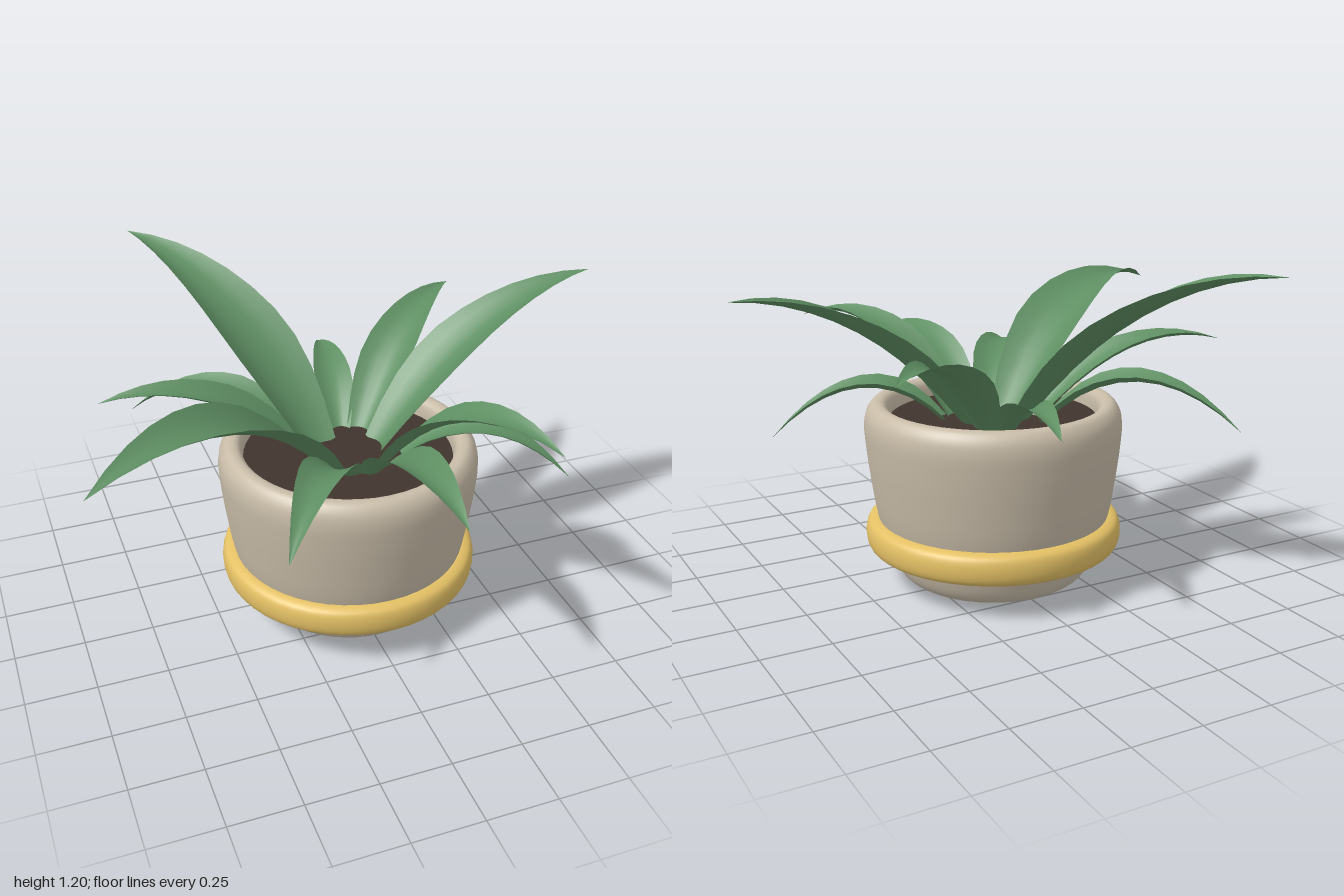
import * as THREE from 'three';

const CX = 0.005, CZ = 0.025; // pot axis

const mat = (color) => new THREE.MeshStandardMaterial({ color, side: THREE.DoubleSide });
const potMat = mat(0xc8bca8), bandMat = mat(0xe3c065), soilMat = mat(0x40342d), leafMat = mat(0x5f8f63);

// Smooth turned shape from [radius, height] pairs
function turned(name, points, material) {
  const curve = new THREE.CatmullRomCurve3(points.map(([r, y]) => new THREE.Vector3(r, y, 0)), false, 'centripetal');
  const profile = curve.getPoints(points.length * 4).map((p) => new THREE.Vector2(Math.max(p.x, 0), p.y));
  const mesh = new THREE.Mesh(new THREE.LatheGeometry(profile, 48), material);
  mesh.name = name;
  mesh.position.set(CX, 0, CZ);
  return mesh;
}

// Relative half-width along the blade: blunt base, widest at a third, pointed tip
function bladeWidth(t) {
  const peak = 0.35;
  if (t < peak) return 0.5 + 0.5 * Math.sin((t / peak) * Math.PI / 2);
  return 1 - Math.pow((t - peak) / (1 - peak), 1.45);
}

// Arching blade with a cupped cross-section
function leaf([bx, bz], [tx, ty, tz], archY, width) {
  const baseY = 0.6, along = 10, across = 6;
  const curve = new THREE.QuadraticBezierCurve3(
    new THREE.Vector3(bx, baseY, bz),
    new THREE.Vector3(bx + (tx - bx) * 0.46, archY, bz + (tz - bz) * 0.46),
    new THREE.Vector3(tx, ty, tz));
  const side = new THREE.Vector3(tz - bz, 0, bx - tx).normalize();
  const geo = new THREE.PlaneGeometry(1, 1, across, along);
  const pos = geo.attributes.position;
  for (let i = 0; i <= along; i++) {
    const t = i / along;
    const centre = curve.getPoint(t);
    const up = curve.getTangent(t).cross(side).normalize();
    const half = bladeWidth(t) * width / 2;
    for (let j = 0; j <= across; j++) {
      const s = (j / across) * 2 - 1;
      const p = centre.clone().addScaledVector(side, s * half).addScaledVector(up, s * s * half * 0.4);
      pos.setXYZ(i * (across + 1) + j, p.x, p.y, p.z);
    }
  }
  geo.computeVertexNormals();
  const mesh = new THREE.Mesh(geo, leafMat);
  mesh.name = 'leaf';
  return mesh;
}

export function createModel() {
  const model = new THREE.Group();
  model.name = 'pottedPlant';

  // Pot: outer wall, rounded rim and inner wall
  model.add(turned('pot', [
    [0, 0.005], [0.12, 0.002], [0.22, 0.002], [0.3, 0.013], [0.345, 0.045], [0.38, 0.13], [0.422, 0.25],
    [0.447, 0.4], [0.462, 0.53], [0.465, 0.6], [0.455, 0.645], [0.43, 0.674],
    [0.4, 0.674], [0.382, 0.655], [0.375, 0.57],
  ], potMat));

  // Band around the lower wall
  model.add(turned('band', [
    [0.37, 0.133], [0.43, 0.133], [0.455, 0.145], [0.466, 0.17], [0.466, 0.212],
    [0.455, 0.238], [0.43, 0.25], [0.41, 0.25],
  ], bandMat));

  // Soil
  const soil = new THREE.Mesh(new THREE.CircleGeometry(0.385, 48).rotateX(-Math.PI / 2), soilMat);
  soil.name = 'soil';
  soil.position.set(CX, 0.61, CZ);
  model.add(soil);

  // Leaves: base [x, z], tip [x, y, z], arch height, width
  const leaves = new THREE.Group();
  leaves.name = 'leaves';
  [
    [[-0.08, -0.06], [-0.555, 1.2, -0.87], 1.16, 0.29],
    [[0.04, -0.15], [0.135, 0.715, -0.67], 0.84, 0.14],
    [[0.11, -0.12], [0.65, 0.93, -0.58], 1.0, 0.2],
    [[0.13, 0], [0.99, 1.13, -0.085], 1.1, 0.25],
    [[0.17, 0.1], [0.725, 0.545, 0.36], 0.88, 0.16],
    [[0.12, 0.12], [0.46, 0.905, 0.74], 1.05, 0.19],
    [[0.04, 0.18], [0.08, 0.8, 0.865], 0.94, 0.19],
    [[-0.05, 0.16], [-0.435, 0.685, 0.695], 0.92, 0.17],
    [[-0.1, 0.09], [-1, 0.97, 0.565], 1.15, 0.28],
    [[-0.13, -0.06], [-0.83, 0.855, -0.195], 0.96, 0.18],
    [[-0.14, -0.1], [-0.66, 0.605, -0.56], 0.94, 0.17],
  ].forEach((spec) => leaves.add(leaf(...spec)));
  model.add(leaves);

  return model;
}
